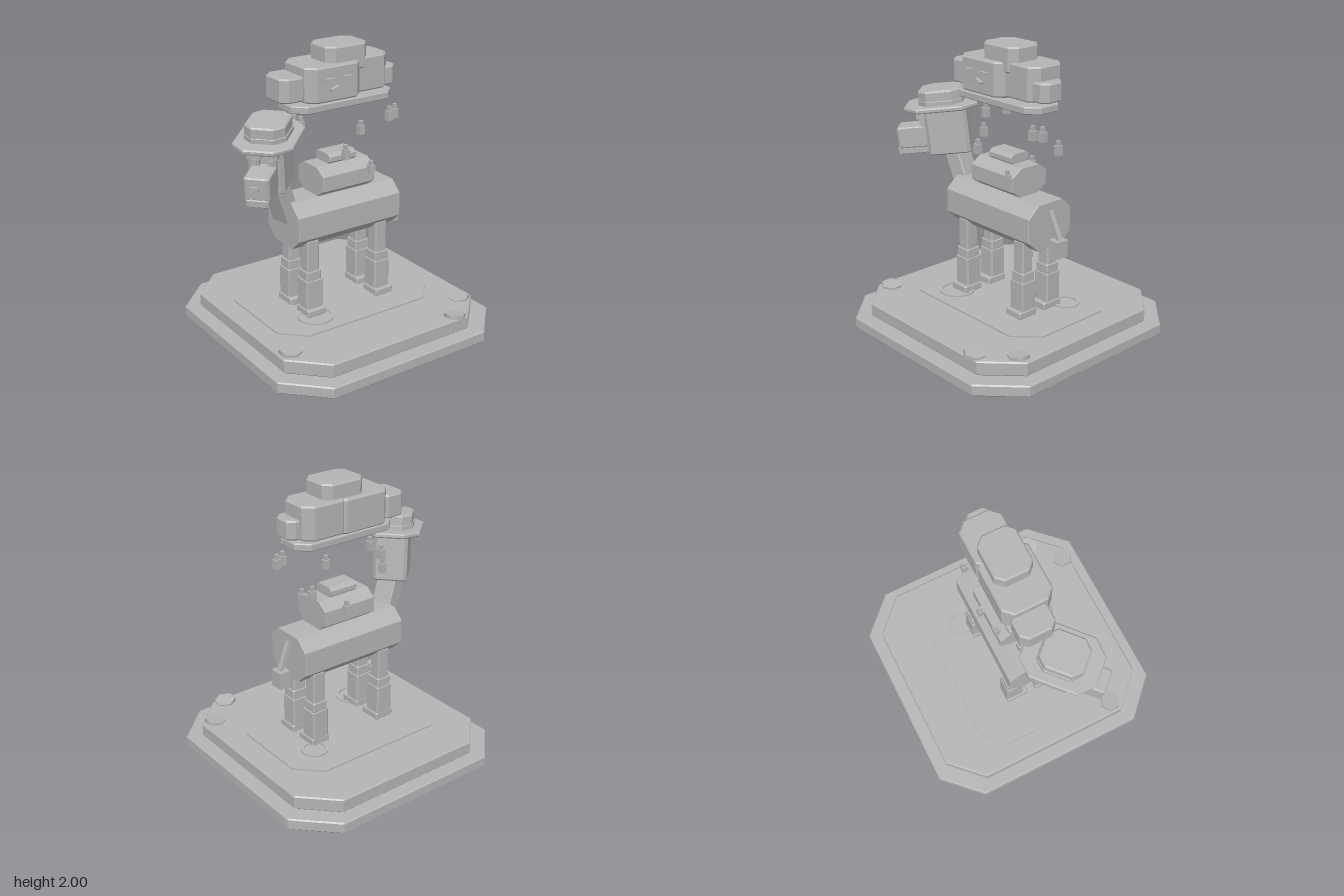
import * as THREE from 'three';

const grey = new THREE.MeshStandardMaterial({ color: 0xb4b4b4 });
grey.name = 'plain grey';

// Rectangle with cut corners, extruded along z and centred
function cutBlock(w, h, depth, cx, cy, bevel) {
  const a = w / 2, b = h / 2;
  const shape = new THREE.Shape([
    [-a + cx, -b], [a - cx, -b], [a, -b + cy], [a, b - cy],
    [a - cx, b], [-a + cx, b], [-a, b - cy], [-a, -b + cy],
  ].map(([x, y]) => new THREE.Vector2(x, y)));
  const geo = new THREE.ExtrudeGeometry(shape, {
    depth: depth - 2 * bevel, bevelEnabled: bevel > 0, bevelSegments: 1,
    bevelSize: bevel, bevelThickness: bevel, bevelOffset: -bevel,
  });
  return geo.translate(0, 0, -depth / 2 + bevel);
}

function add(parent, name, geo, x = 0, y = 0, z = 0) {
  const mesh = new THREE.Mesh(geo, grey);
  mesh.name = name;
  mesh.position.set(x, y, z);
  parent.add(mesh);
  return mesh;
}

// Upright slab given by its x, y and z ranges
function slab(parent, name, x0, x1, y0, y1, z0, z1, c, bevel = 0.006) {
  const geo = cutBlock(x1 - x0, z1 - z0, y1 - y0, c, c, bevel).rotateX(-Math.PI / 2);
  return add(parent, name, geo, (x0 + x1) / 2, (y0 + y1) / 2, (z0 + z1) / 2);
}

// Eight-sided barrel lying along x
function barrel(parent, name, x0, x1, y0, y1, z0, z1, cz, cy) {
  const geo = cutBlock(z1 - z0, y1 - y0, x1 - x0, cz, cy, 0.004).rotateY(Math.PI / 2);
  return add(parent, name, geo, (x0 + x1) / 2, (y0 + y1) / 2, (z0 + z1) / 2);
}

function box(parent, name, w, h, d, x, y, z) {
  return add(parent, name, new THREE.BoxGeometry(w, h, d), x, y, z);
}

function makeBase() {
  const g = new THREE.Group();
  g.name = 'base';
  slab(g, 'lowerTier', -0.875, 0.875, 0, 0.08, -0.875, 0.875, 0.255, 0.008);
  slab(g, 'upperTier', -0.785, 0.78, 0.08, 0.178, -0.785, 0.778, 0.225, 0.008);
  slab(g, 'groundPatch', -0.645, 0.61, 0.17, 0.188, -0.465, 0.405, 0.155, 0);
  // rings on the ground
  for (const [x, z, r] of [[0.357, -0.215, 0.095], [-0.31, 0.205, 0.126]]) {
    const ring = new THREE.Shape().absarc(0, 0, r, 0, Math.PI * 2);
    ring.holes.push(new THREE.Path().absarc(0, 0, r - 0.021, 0, Math.PI * 2, true));
    const geo = new THREE.ExtrudeGeometry(ring, { depth: 0.02, bevelEnabled: false, curveSegments: 12 });
    add(g, 'groundRing', geo.rotateX(-Math.PI / 2), x, 0.178, z);
  }
  // tilted six-sided stones
  for (const [x, y, z, rx, rz] of [
    [-0.70, 0.184, 0.50, 0.04, -0.1], [0.68, 0.18, 0.535, -0.03, 0.14], [0.48, 0.184, 0.725, -0.08, -0.14],
  ]) {
    const stone = add(g, 'stone', new THREE.CylinderGeometry(0.076, 0.076, 0.025, 6), x, y, z);
    stone.rotation.set(rx, 0, rz);
  }
  return g;
}

function makeLeg(x, z, side) {
  const g = new THREE.Group();
  g.name = 'leg';
  const part = (name, r, y0, y1) => slab(g, name, x - r, x + r, y0, y1, z - r, z + r, 0.01, 0.003);
  part('upperLeg', 0.048, 0.5, 0.725);
  part('knee', 0.058, 0.44, 0.505);
  part('lowerLeg', 0.064, 0.23, 0.44);
  const front = side > 0 ? 0.095 : 0.1;
  slab(g, 'foot', x - 0.074, x + 0.074, 0.188, 0.235, z - 0.065, z + front, 0.01, 0.004);
  return g;
}

function makeHead() {
  // local +z points along the snout, local y is height above y = 1.3
  const g = new THREE.Group();
  g.name = 'head';
  g.position.set(-0.56, 1.3, 0.08);
  g.rotation.set(0.11, -0.82, 0, 'YXZ');
  slab(g, 'skull', -0.117, 0.117, -0.15, 0.18, -0.172, 0.125, 0.022, 0.01);
  slab(g, 'snout', -0.082, 0.082, -0.09, 0.06, 0.1, 0.335, 0.012, 0.008);
  slab(g, 'jaw', -0.075, 0.075, -0.133, -0.085, 0.1, 0.345, 0.012, 0.004);
  box(g, 'nose', 0.05, 0.04, 0.02, -0.01, -0.015, 0.337);
  // eyes under a heavy brow
  for (const s of [-1, 1]) {
    box(g, 'eye', 0.055, 0.07, 0.04, s * 0.055, 0.09, 0.138);
    box(g, 'pupil', 0.028, 0.035, 0.014, s * 0.055, 0.085, 0.16);
    box(g, 'brow', 0.085, 0.032, 0.06, s * 0.055, 0.13, 0.15);
  }
  // hat
  slab(g, 'hatBrim', -0.197, 0.197, 0.175, 0.208, -0.258, 0.258, 0.1, 0.008);
  slab(g, 'hatBand', -0.138, 0.138, 0.205, 0.24, -0.155, 0.155, 0.065, 0.003);
  slab(g, 'hatCrown', -0.132, 0.132, 0.205, 0.31, -0.15, 0.15, 0.06, 0.01);
  return g;
}

function makeAnimal() {
  const g = new THREE.Group();
  g.name = 'animal';
  for (const x of [-0.293, 0.272]) for (const s of [1, -1]) g.add(makeLeg(x, s * 0.114, s));
  barrel(g, 'body', -0.425, 0.405, 0.68, 1.0, -0.193, 0.193, 0.085, 0.078);
  barrel(g, 'hump', -0.205, 0.21, 0.995, 1.2, -0.153, 0.153, 0.075, 0.052);
  barrel(g, 'humpTop', -0.105, 0.11, 1.195, 1.27, -0.087, 0.083, 0.03, 0.022);
  const neck = add(g, 'neck', cutBlock(0.12, 0.15, 0.44, 0.008, 0.008, 0.004).rotateX(-Math.PI / 2),
    -0.475, 1.075, 0.02);
  neck.rotation.set(0, 0.25, 0.36, 'YXZ');
  const tail = box(g, 'tail', 0.03, 0.23, 0.034, 0.447, 0.835, -0.008);
  tail.rotation.set(0.05, 0, 0.42);
  box(g, 'tailTuft', 0.083, 0.118, 0.095, 0.477, 0.695, -0.01);
  g.add(makeHead());
  return g;
}

function makeCloud() {
  const g = new THREE.Group();
  g.name = 'cloud';
  slab(g, 'cloudBase', -0.4, 0.395, 1.6, 1.65, -0.15, 0.155, 0.08);
  slab(g, 'mainLobe', -0.32, 0.11, 1.662, 1.895, -0.172, 0.172, 0.06, 0.01);
  slab(g, 'rightSideLobe', -0.475, -0.28, 1.675, 1.835, -0.14, 0.105, 0.045, 0.01);
  slab(g, 'leftSideLobe', 0.02, 0.365, 1.67, 1.9, -0.172, 0.118, 0.06, 0.01);
  slab(g, 'leftEndLobe', 0.24, 0.44, 1.675, 1.805, -0.095, 0.095, 0.045, 0.01);
  slab(g, 'topLobe', -0.14, 0.185, 1.83, 2.0, -0.133, 0.128, 0.05, 0.01);
  // sad face
  for (const x of [-0.177, -0.033]) box(g, 'cloudEye', 0.064, 0.022, 0.04, x, 1.811, 0.175);
  for (const s of [-1, 1]) {
    const lip = box(g, 'cloudMouth', 0.06, 0.015, 0.04, -0.108 + s * 0.026, 1.752, 0.175);
    lip.rotation.z = -s * 0.35;
  }
  return g;
}

function makeRain() {
  const g = new THREE.Group();
  g.name = 'rain';
  const drops = [
    [-0.26, 1.435, -0.03], [-0.222, 1.435, -0.19], [0.357, 1.435, 0.115], [0.42, 1.435, 0.09],
    [-0.335, 1.27, -0.075], [-0.068, 1.27, 0.21], [0.32, 1.27, -0.155],
    [0.172, 1.1, 0.165], [0.05, 1.1, -0.172],
  ];
  for (const [x, y, z] of drops) {
    box(g, 'dropBody', 0.042, 0.066, 0.042, x, y + 0.033, z);
    box(g, 'dropTip', 0.024, 0.034, 0.024, x, y + 0.081, z);
  }
  return g;
}

export function createModel() {
  const model = new THREE.Group();
  model.name = 'animalUnderRainCloud';
  model.add(makeBase(), makeAnimal(), makeCloud(), makeRain());
  return model;
}
